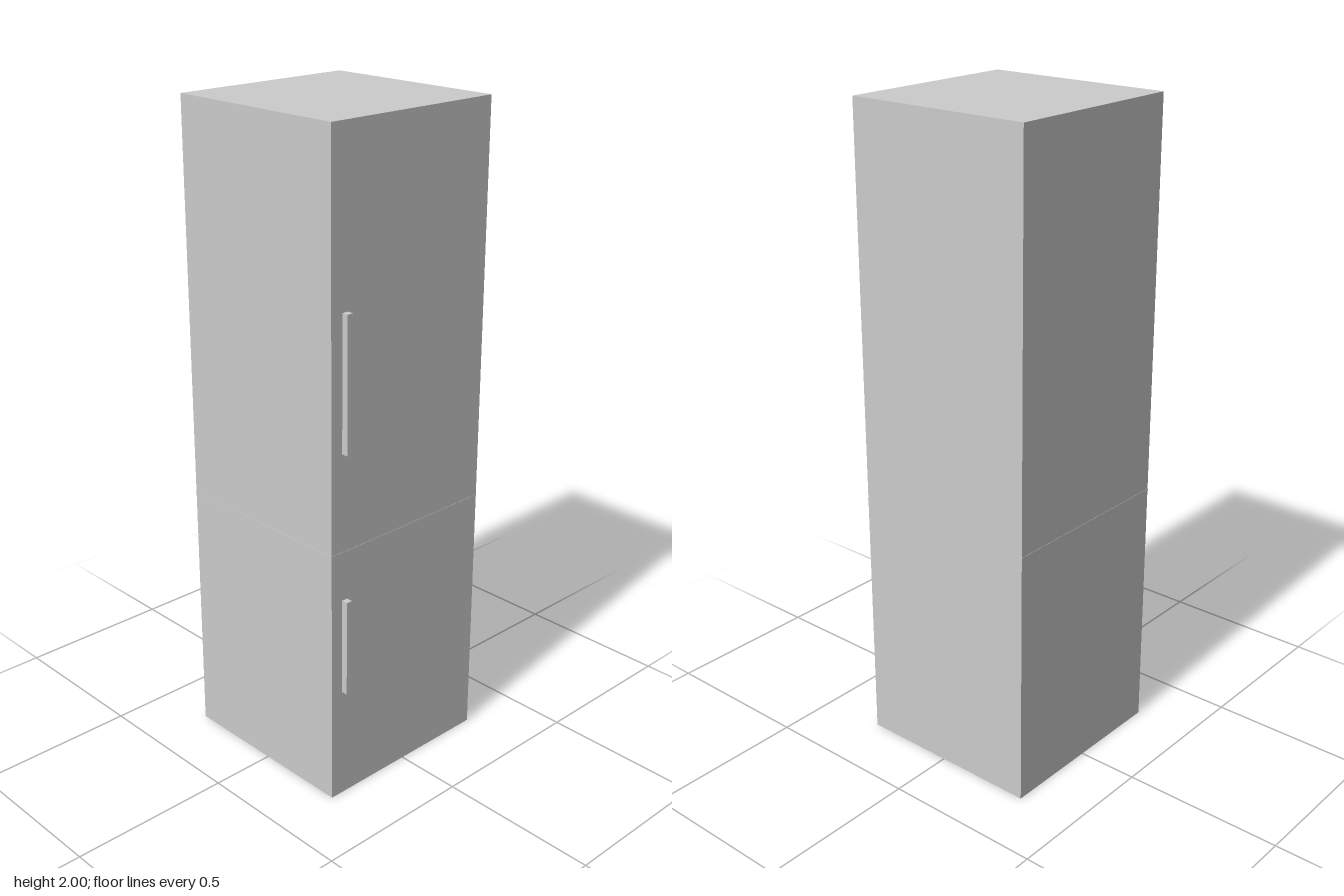
import * as THREE from 'three';

export function createModel() {
  const model = new THREE.Group();
  model.name = 'fridgeFreezer';
  const material = new THREE.MeshStandardMaterial({ color: 0xcccccc, flatShading: true });

  const addBox = (name, [w, h, d], [x, y, z]) => {
    const mesh = new THREE.Mesh(new THREE.BoxGeometry(w, h, d), material);
    mesh.name = name;
    mesh.position.set(x, y, z);
    model.add(mesh);
  };

  // Cabinet, set back slightly so that the handles fit in the depth
  const size = 0.6, bodyZ = -0.01, splitY = 0.8;
  addBox('cabinet', [size, 2, size], [0, 1, bodyZ]);

  // Thin band between the fridge and the freezer, just proud of the cabinet
  addBox('dividerBand', [size + 0.002, 0.006, size + 0.002], [0, splitY, bodyZ]);

  // Vertical bar handles on the front: [name, bottom, top]
  for (const [name, bottom, top] of [['freezerHandle', 0.35, 0.65], ['fridgeHandle', 1.1, 1.5]]) {
    addBox(name, [0.02, top - bottom, 0.02], [-0.25, (bottom + top) / 2, 0.3]);
  }

  return model;
}
